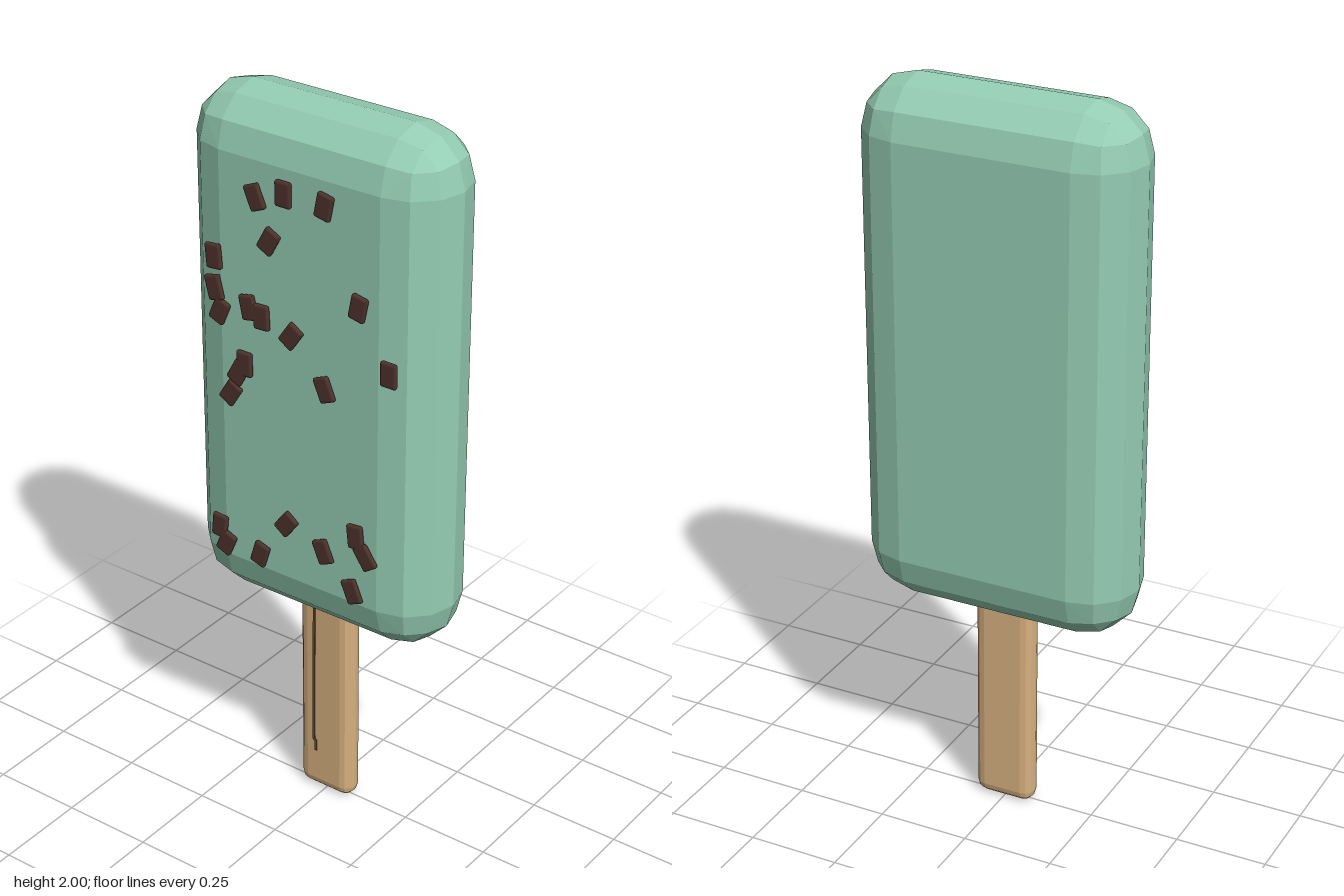
import * as THREE from 'three';
import { ConvexGeometry } from 'three/addons/geometries/ConvexGeometry.js';

const mat = (name, color) => {
  const m = new THREE.MeshStandardMaterial({ color });
  m.name = name;
  return m;
};

// Directions of one bevelled corner: three arcs in 30 degree steps and three inner points
const C = Math.sqrt(3) / 2, A = 0.766, B = 0.4545;
const cornerDirs = [
  [1, 0, 0], [0, 1, 0], [0, 0, 1],
  [C, 0.5, 0], [0.5, C, 0], [C, 0, 0.5], [0.5, 0, C], [0, C, 0.5], [0, 0.5, C],
  [A, B, B], [B, A, B], [B, B, A],
];

// Box with faceted round edges, as the hull of its eight corners
function bevelBox(w, h, d, r) {
  const points = new Map();
  for (const sx of [-1, 1]) for (const sy of [-1, 1]) for (const sz of [-1, 1]) {
    for (const [x, y, z] of cornerDirs) {
      const p = new THREE.Vector3(
        sx * (w / 2 - r + r * x), sy * (h / 2 - r + r * y), sz * (d / 2 - r + r * z));
      points.set(p.toArray().map((v) => Math.round(v * 1e5)).join(), p);
    }
  }
  return new ConvexGeometry([...points.values()]);
}

// x, y and tilt of each chocolate chip
const chips = [
  [-0.12, 1.77, 0.4], [-0.035, 1.8, 0], [0.085, 1.8, -0.2], [-0.08, 1.665, -0.5],
  [-0.25, 1.58, 0.08], [-0.25, 1.495, 0.25], [-0.235, 1.435, -0.4], [-0.145, 1.47, 0.2],
  [-0.105, 1.455, 0.05], [-0.015, 1.43, -0.6], [0.185, 1.565, -0.2], [0.275, 1.415, 0],
  [0.085, 1.315, 0.4], [-0.16, 1.31, 0], [-0.18, 1.28, -0.5], [-0.205, 1.215, -0.55],
  [-0.035, 0.89, -0.65], [0.08, 0.85, 0.4], [0.18, 0.93, 0.1], [0.21, 0.88, 0.6],
  [0.17, 0.765, 0.4], [-0.12, 0.77, -0.3], [-0.25, 0.81, -0.1], [-0.23, 0.765, -0.4],
];

export function createModel() {
  const group = new THREE.Group();
  const mint = mat('mint ice', 0x95cdb4);
  const wood = mat('wood', 0xd8b180);
  const chocolate = mat('chocolate', 0x4e322c);
  const grainBrown = mat('grain brown', 0x6b4c33);

  const add = (name, geometry, material, x, y, z, tilt = 0) => {
    const mesh = new THREE.Mesh(geometry, material);
    mesh.name = name;
    mesh.position.set(x, y, z);
    mesh.rotation.z = tilt;
    group.add(mesh);
  };

  // Ice block and stick
  add('iceBlock', bevelBox(0.755, 1.415, 0.281, 0.14), mint, 0, 1.2925, -0.01);
  add('stick', bevelBox(0.166, 0.7, 0.066, 0.03), wood, 0, 0.35, -0.001);

  // Chocolate chips on the front
  const chip = bevelBox(0.047, 0.068, 0.014, 0.0065);
  chips.forEach(([x, y, tilt], i) => add(`chocolateChip${i + 1}`, chip, chocolate, x, y, 0.141, tilt));

  // Wood grain line, bending slightly towards its lower end
  const grain = [[-0.028, 0.58], [-0.031, 0.36], [-0.031, 0.16], [-0.025, 0.155], [-0.025, 0.125]];
  for (let i = 1; i < grain.length; i++) {
    const [x0, y0] = grain[i - 1], [x1, y1] = grain[i];
    const length = Math.hypot(x1 - x0, y1 - y0);
    add(`woodGrain${i}`, new THREE.BoxGeometry(0.007, length + 0.003, 0.004), grainBrown,
      (x0 + x1) / 2, (y0 + y1) / 2, 0.033, Math.atan2(x0 - x1, y0 - y1) * -1);
  }
  return group;
}
